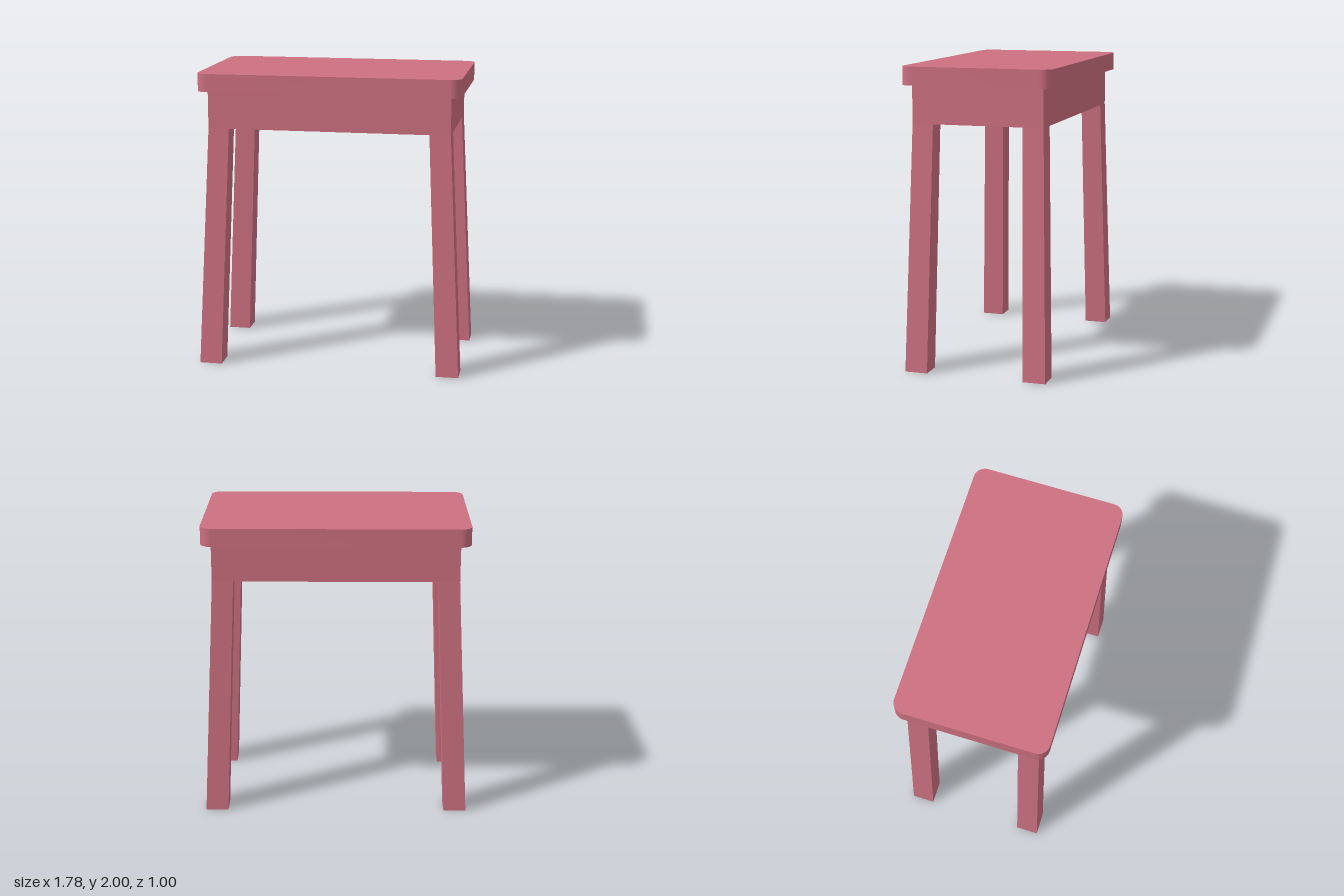
import * as THREE from 'three';
import { toCreasedNormals } from 'three/addons/utils/BufferGeometryUtils.js';

const SEAT_BOTTOM = 1.88, APRON_BOTTOM = 1.63;

// Rounded rectangular board lying flat, from y0 to y1
function boardGeometry(hx, hz, r, y0, y1) {
  const s = new THREE.Shape();
  s.absarc(hx - r, hz - r, r, 0, Math.PI / 2);
  s.absarc(-hx + r, hz - r, r, Math.PI / 2, Math.PI);
  s.absarc(-hx + r, -hz + r, r, Math.PI, Math.PI * 1.5);
  s.absarc(hx - r, -hz + r, r, Math.PI * 1.5, Math.PI * 2);
  const g = new THREE.ExtrudeGeometry(s, { depth: y1 - y0, bevelEnabled: false, curveSegments: 8 });
  g.rotateX(-Math.PI / 2).translate(0, y0, 0);
  return toCreasedNormals(g, 0.6);
}

// Square leg splayed outwards towards the floor, open at both ends
function legGeometry(sx, sz) {
  const g = new THREE.BoxGeometry(1, 1, 1);
  const index = Array.from(g.index.array);
  index.splice(12, 12); // remove the end caps
  g.setIndex(index);
  g.clearGroups();
  const p = g.attributes.position;
  for (let i = 0; i < p.count; i++) {
    const top = p.getY(i) > 0;
    const width = top ? 0.139 : 0.151;
    const cx = top ? 0.738 : 0.814, cz = top ? 0.368 : 0.402;
    p.setXYZ(i, sx * cx + p.getX(i) * width, top ? APRON_BOTTOM : 0, sz * cz + p.getZ(i) * width);
  }
  const flat = g.toNonIndexed();
  flat.computeVertexNormals();
  return flat;
}

export function createModel() {
  const group = new THREE.Group();
  group.name = 'stool';
  const paint = new THREE.MeshStandardMaterial({ color: 0xcd7080 });
  const legPaint = new THREE.MeshStandardMaterial({ color: 0xcd7080, side: THREE.DoubleSide });

  const add = (name, geometry, material) => {
    const mesh = new THREE.Mesh(geometry, material);
    mesh.name = name;
    group.add(mesh);
    return mesh;
  };

  // Seat board with rounded corners
  add('seat', boardGeometry(0.875, 0.5, 0.075, SEAT_BOTTOM, 2), paint);

  // Solid apron under the seat
  const apron = add('apron', new THREE.BoxGeometry(1.615, SEAT_BOTTOM - APRON_BOTTOM, 0.875), paint);
  apron.position.y = (SEAT_BOTTOM + APRON_BOTTOM) / 2;

  // Four splayed legs
  for (const sx of [1, -1])
    for (const sz of [1, -1])
      add((sz > 0 ? 'front' : 'back') + (sx > 0 ? 'Left' : 'Right') + 'Leg', legGeometry(sx, sz), legPaint);

  return group;
}
